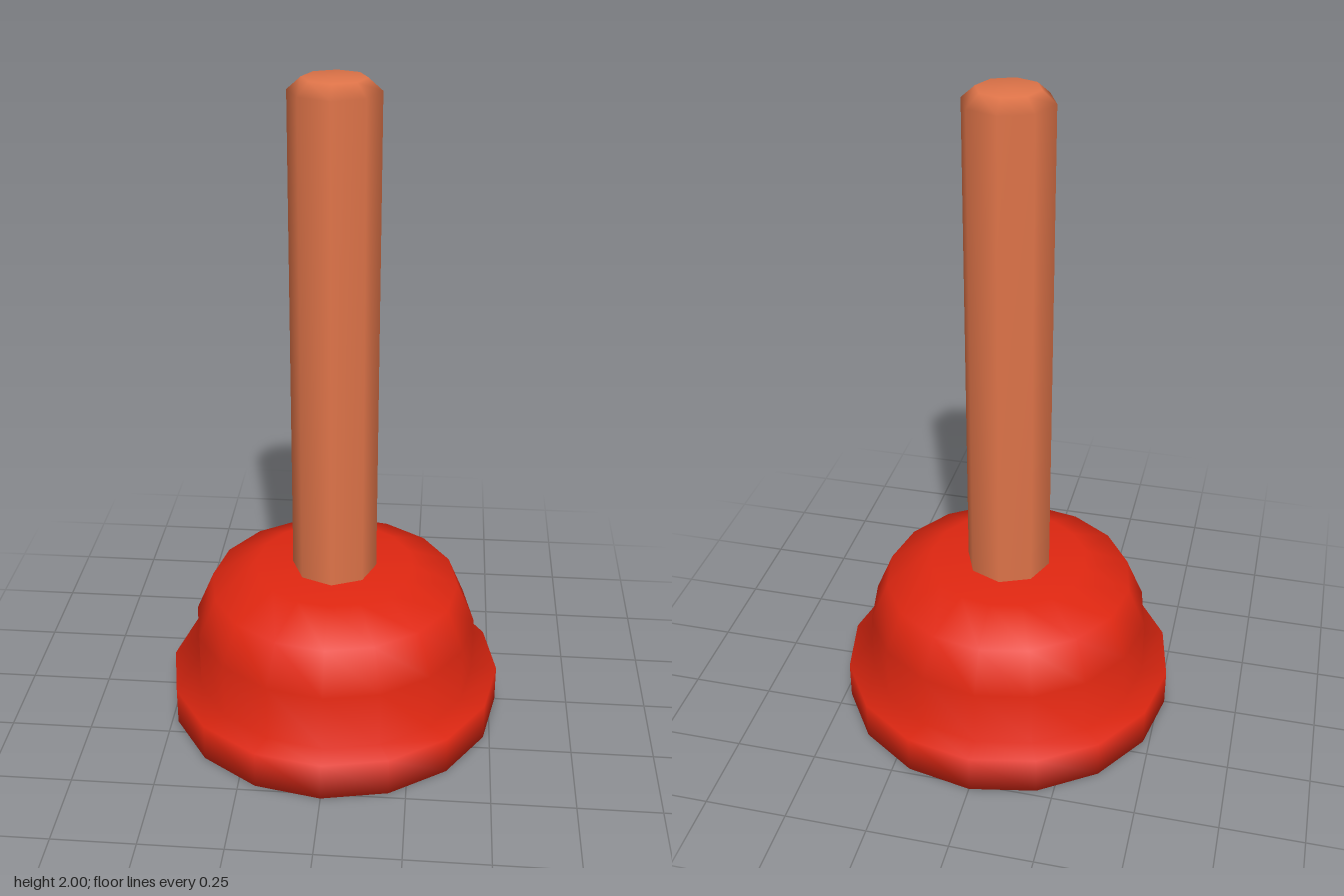
import * as THREE from 'three';

const woodBrown = new THREE.MeshStandardMaterial({ color: 0xdf7449 });
woodBrown.name = 'woodBrown';
const rubberRed = new THREE.MeshStandardMaterial({ color: 0xe02711 });
rubberRed.name = 'rubberRed';

// Smooth-shaded low-poly turned part
function turned(name, profile, sides, material) {
  const points = profile.map(([r, y]) => new THREE.Vector2(r, y));
  const mesh = new THREE.Mesh(new THREE.LatheGeometry(points, sides), material);
  mesh.name = name;
  return mesh;
}

export function createModel() {
  const model = new THREE.Group();
  model.name = 'plunger';

  // Hollow rubber cup: inner wall downwards, flat lip, flange, outer dome
  model.add(turned('rubberCup', [
    [0, 0.42], [0.22, 0.42], [0.33, 0.37], [0.38, 0.26], [0.38, 0.02],
    [0.41, 0], [0.52, 0], [0.52, 0.12], [0.44, 0.12], [0.44, 0.3],
    [0.385, 0.43], [0.245, 0.49], [0, 0.49],
  ], 16, rubberRed));

  // Wooden handle with a bevelled top, sunk slightly into the cup
  model.add(turned('handle', [
    [0.13, 0.46], [0.13, 1.965], [0.09, 2], [0, 2],
  ], 8, woodBrown));

  return model;
}
